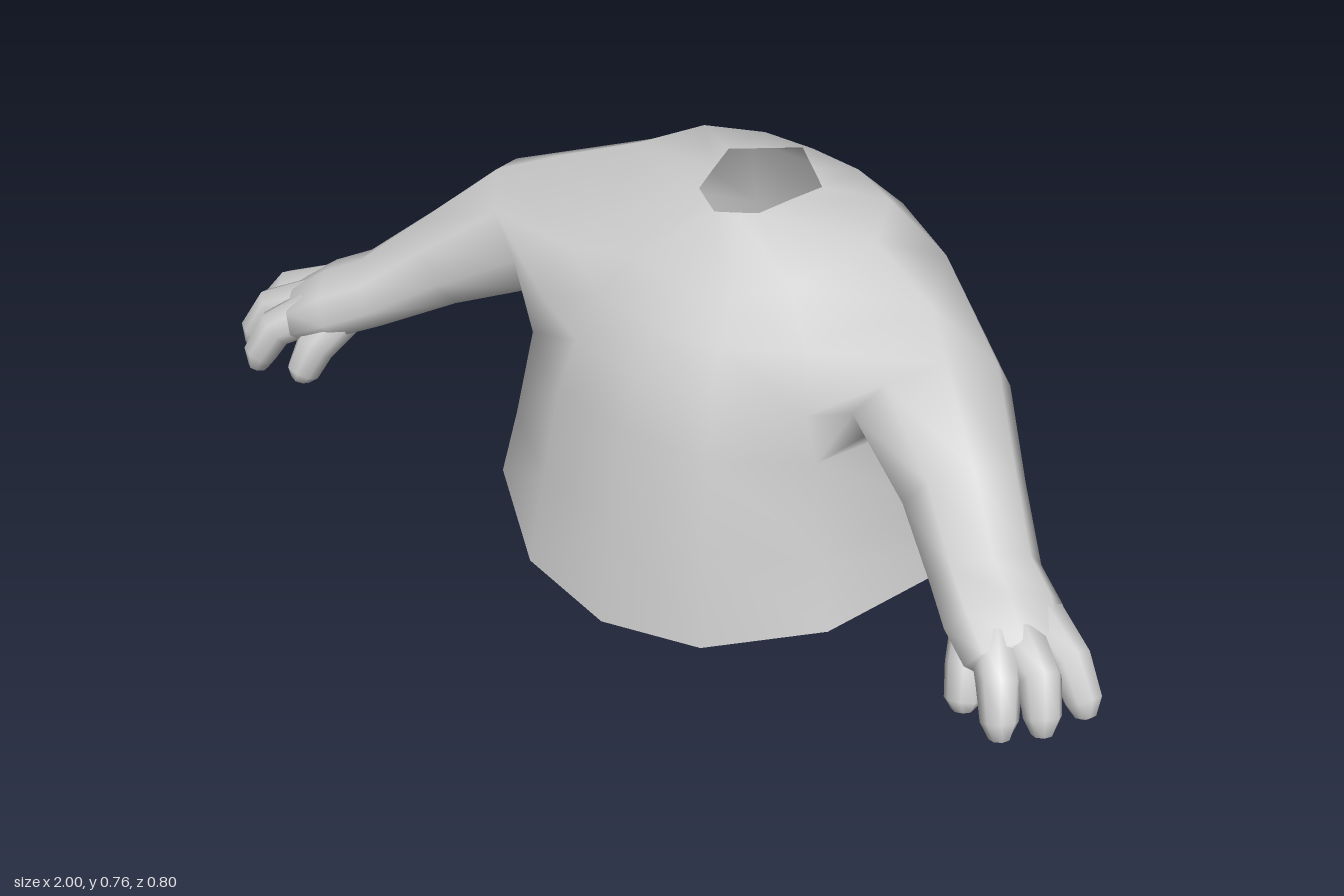
import * as THREE from 'three';
import { mergeVertices } from 'three/addons/utils/BufferGeometryUtils.js';

const V = (p) => new THREE.Vector3(...p);

// Collects quads of the +x half and mirrors them when side is -1
class Skin {
  constructor() { this.positions = []; }
  tri(a, b, c, side) {
    for (const p of side > 0 ? [a, b, c] : [a, c, b]) this.positions.push(p.x * side, p.y, p.z);
  }
  quad(a, b, c, d, side) {
    this.tri(a, b, c, side);
    this.tri(a, c, d, side);
  }
  // Joins consecutive rings; optionally closes the last one with a point
  loft(rings, side, tip) {
    const n = rings[0].length;
    for (let i = 0; i + 1 < rings.length; i++) {
      for (let k = 0; k < n; k++) {
        const m = (k + 1) % n;
        this.quad(rings[i][k], rings[i + 1][k], rings[i + 1][m], rings[i][m], side);
      }
    }
    const last = rings[rings.length - 1];
    if (tip) last.forEach((p, k) => this.tri(p, tip, last[(k + 1) % n], side));
  }
  mesh(name, material) {
    let geometry = new THREE.BufferGeometry();
    geometry.setAttribute('position', new THREE.Float32BufferAttribute(this.positions, 3));
    geometry = mergeVertices(geometry, 1e-4);
    geometry.computeVertexNormals();
    const mesh = new THREE.Mesh(geometry, material);
    mesh.name = name;
    return mesh;
  }
}

// Elliptical rings square to a path; each station is [x, y, z, halfWidth, halfHeight]
function ringsAlong(stations, sides) {
  const centres = stations.map((s) => V(s.slice(0, 3)));
  return stations.map(([, , , w, h], i) => {
    const dir = centres[Math.min(i + 1, centres.length - 1)].clone()
      .sub(centres[Math.max(i - 1, 0)]).normalize();
    const back = new THREE.Vector3(dir.z, 0, -dir.x).normalize();
    const up = dir.clone().cross(back).normalize();
    return Array.from({ length: sides }, (_, k) => {
      const a = ((k - 1) / sides) * Math.PI * 2;
      return centres[i].clone().addScaledVector(back, Math.sin(a) * w).addScaledVector(up, Math.cos(a) * h);
    });
  });
}

// Torso rows from neck to hem; each runs from front centre round the left side to back centre
const TORSO = [
  [[0, .74, .05], [.035, .742, .03], [.07, .745, .01], [.09, .752, -.055], [.11, .757, -.12], [.055, .761, -.16], [0, .765, -.2]],
  [[0, .64, .16], [.11, .65, .148], [.2, .685, .085], [.28, .735, -.06], [.22, .743, -.18], [.11, .748, -.225], [0, .75, -.23]],
  [[0, .58, .22], [.14, .585, .205], [.28, .605, .14], [.43, .67, -.03], [.34, .67, -.19], [.18, .683, -.27], [0, .688, -.28]],
  [[0, .5, .272], [.16, .5, .25], [.315, .5, .175], null, [.42, .54, -.19], [.2, .53, -.31], [0, .53, -.317]],
  [[0, .4, .305], [.18, .4, .28], [.34, .41, .175], [.41, .42, -.04], [.4, .42, -.18], [.2, .38, -.323], [0, .37, -.33]],
  [[0, .22, .34], [.195, .22, .31], [.37, .23, .195], [.44, .24, -.07], [.385, .23, -.23], [.2, .21, -.345], [0, .21, -.35]],
  [[0, .015, .375], [.21, .036, .34], [.4, .09, .21], [.47, .11, -.1], [.375, .075, -.295], [.2, .026, -.4], [0, .008, -.403]],
].map((row) => row.map((p) => p && V(p)));

// Grid corners around the arm opening, starting front-top
const ARM_HOLE = [[2, 2], [2, 3], [2, 4], [3, 4], [4, 4], [4, 3], [4, 2], [3, 2]].map(([r, c]) => TORSO[r][c]);

const ARM = [
  [.48, .53, .03, .147, .125],
  [.62, .442, .118, .112, .09],
  [.73, .367, .2, .1, .066],
  [.8, .335, .242, .108, .062],
  [.86, .305, .28, .098, .046],
];

// Finger paths, outer finger to thumb
const FINGERS = {
  outerFinger: [[.85, .325, .2], [.935, .3, .235], [.975, .25, .25], [.984, .225, .255]],
  middleFinger: [[.85, .32, .26], [.92, .295, .302], [.945, .245, .325], [.95, .215, .33]],
  indexFinger: [[.82, .32, .29], [.868, .288, .345], [.89, .235, .37], [.895, .205, .374]],
  thumb: [[.765, .32, .27], [.785, .27, .32], [.797, .22, .345], [.8, .202, .349]],
};
const FINGER_RADII = [.045, .039, .033, .019];

export function createModel() {
  const group = new THREE.Group();
  const material = new THREE.MeshStandardMaterial({ color: 0xcccccc, side: THREE.DoubleSide });

  // Torso shell with the arms growing from its side openings
  const body = new Skin();
  for (const side of [1, -1]) {
    for (let r = 0; r + 1 < TORSO.length; r++) {
      for (let c = 0; c < 6; c++) {
        const corners = [TORSO[r][c], TORSO[r + 1][c], TORSO[r + 1][c + 1], TORSO[r][c + 1]];
        if (corners.every(Boolean)) body.quad(...corners, side);
      }
    }
    body.loft([ARM_HOLE, ...ringsAlong(ARM, 8)], side, V([.885, .292, .296]));
  }
  group.add(body.mesh('torsoAndArms', material));

  // Fingers of both hands
  for (const side of [1, -1]) {
    const hand = new THREE.Group();
    hand.name = side > 0 ? 'leftHand' : 'rightHand';
    for (const [name, path] of Object.entries(FINGERS)) {
      const skin = new Skin();
      const stations = path.map((p, i) => [...p, FINGER_RADII[i], FINGER_RADII[i]]);
      const end = V(path[3]).addScaledVector(V(path[3]).sub(V(path[2])).normalize(), .008);
      skin.loft(ringsAlong(stations, 8), side, end);
      hand.add(skin.mesh(name, material));
    }
    group.add(hand);
  }
  return group;
}
